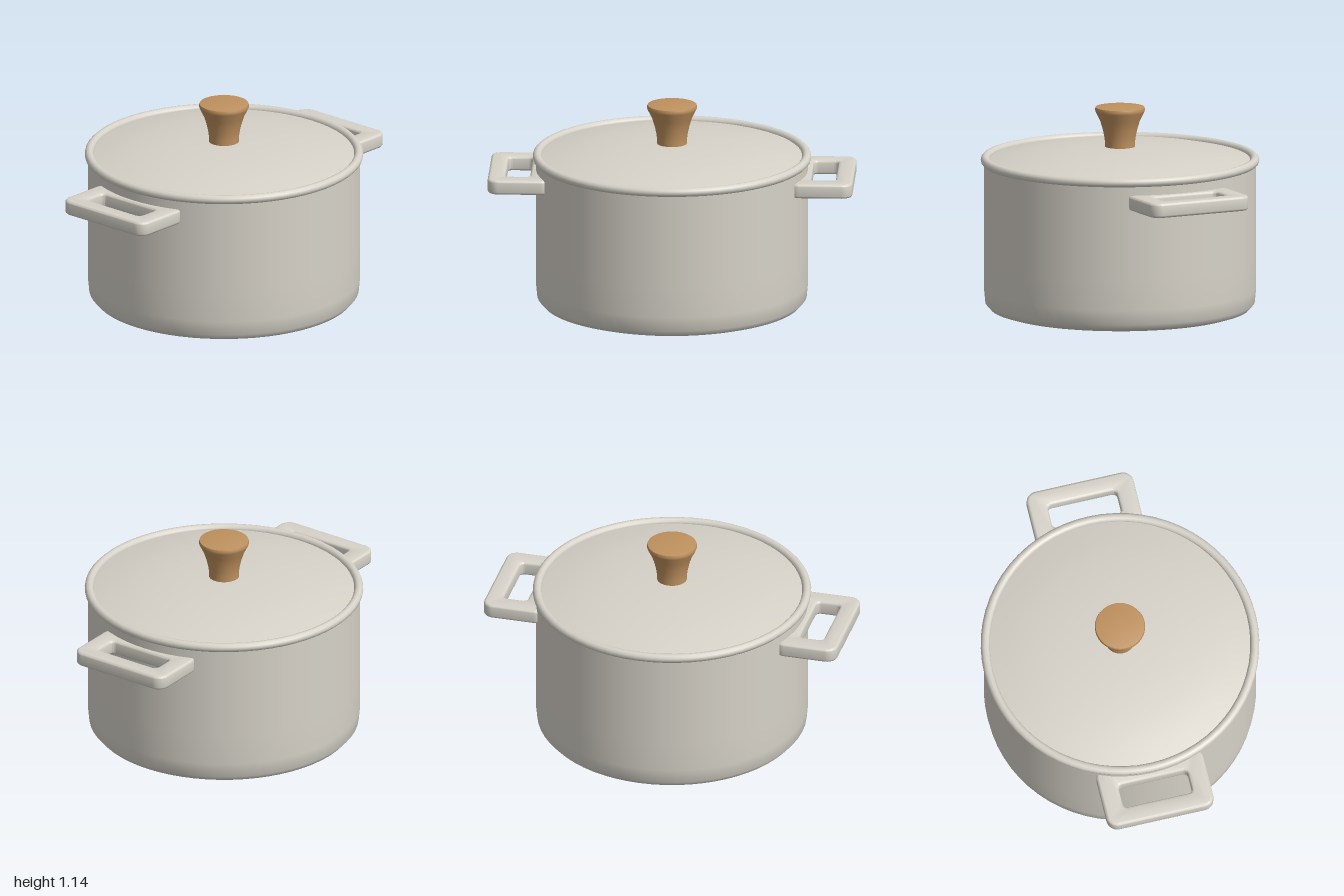
import * as THREE from 'three';
import { toCreasedNormals } from 'three/addons/utils/BufferGeometryUtils.js';

const enamel = new THREE.MeshStandardMaterial({ name: 'warm grey enamel', color: 0xd6d2c8 });
const wood = new THREE.MeshStandardMaterial({ name: 'wood', color: 0xc0925f });

function part(name, geometry, material) {
  const mesh = new THREE.Mesh(geometry, material);
  mesh.name = name;
  return mesh;
}

// Revolve a profile of [radius, height] pairs, listed so that faces point outward
function lathe(profile, segments = 64) {
  return new THREE.LatheGeometry(profile.map(([r, y]) => new THREE.Vector2(r, y)), segments);
}

// Rectangle with rounded corners, added to a shape or path
function roundedRect(path, x0, x1, z0, z1, r) {
  path.moveTo(x0 + r, z0);
  path.lineTo(x1 - r, z0);
  path.absarc(x1 - r, z0 + r, r, -Math.PI / 2, 0);
  path.lineTo(x1, z1 - r);
  path.absarc(x1 - r, z1 - r, r, 0, Math.PI / 2);
  path.lineTo(x0 + r, z1);
  path.absarc(x0 + r, z1 - r, r, Math.PI / 2, Math.PI);
  path.lineTo(x0, z0 + r);
  path.absarc(x0 + r, z0 + r, r, Math.PI, Math.PI * 1.5);
  return path;
}

// Flat loop handle lying horizontally, with softened edges
function handleGeometry() {
  const shape = roundedRect(new THREE.Shape(), 0.65, 1, -0.3, 0.3, 0.06);
  shape.holes.push(roundedRect(new THREE.Path(), 0.77, 0.905, -0.195, 0.195, 0.025));
  const bevel = 0.014;
  const geometry = new THREE.ExtrudeGeometry(shape, {
    depth: 0.08 - 2 * bevel, curveSegments: 6,
    bevelThickness: bevel, bevelSize: bevel, bevelOffset: -bevel, bevelSegments: 3,
  });
  geometry.rotateX(-Math.PI / 2).translate(0, 0.69 + bevel, 0);
  return toCreasedNormals(geometry, 0.6);
}

export function createModel() {
  const pot = new THREE.Group();
  pot.name = 'cookingPot';

  // Body with a rounded bottom edge
  pot.add(part('body', lathe([
    [0, 0], [0.63, 0], [0.66, 0.002], [0.71, 0.018], [0.738, 0.05], [0.746, 0.13], [0.746, 0.3], [0.746, 0.84],
  ]), enamel));

  // Rolled rim
  const rim = new THREE.TorusGeometry(0.738, 0.025, 12, 64);
  rim.rotateX(Math.PI / 2).translate(0, 0.84, 0);
  pot.add(part('rim', rim, enamel));

  // Shallow domed lid
  pot.add(part('lid', lathe([
    [0.73, 0.838], [0.61, 0.865], [0.45, 0.893], [0.22, 0.912], [0, 0.915],
  ]), enamel));

  // Flared knob with a nearly flat top
  pot.add(part('knob', toCreasedNormals(lathe([
    [0.082, 0.9], [0.082, 0.94], [0.087, 0.975], [0.096, 1.015], [0.11, 1.06],
    [0.134, 1.108], [0.138, 1.12], [0.134, 1.133], [0.1, 1.138], [0, 1.141],
  ], 40), 0.7), wood));

  // Pair of side handles
  const handle = handleGeometry();
  for (const side of ['left', 'right']) {
    const mesh = part(side + 'Handle', handle, enamel);
    if (side === 'right') mesh.rotation.y = Math.PI;
    pot.add(mesh);
  }
  return pot;
}
